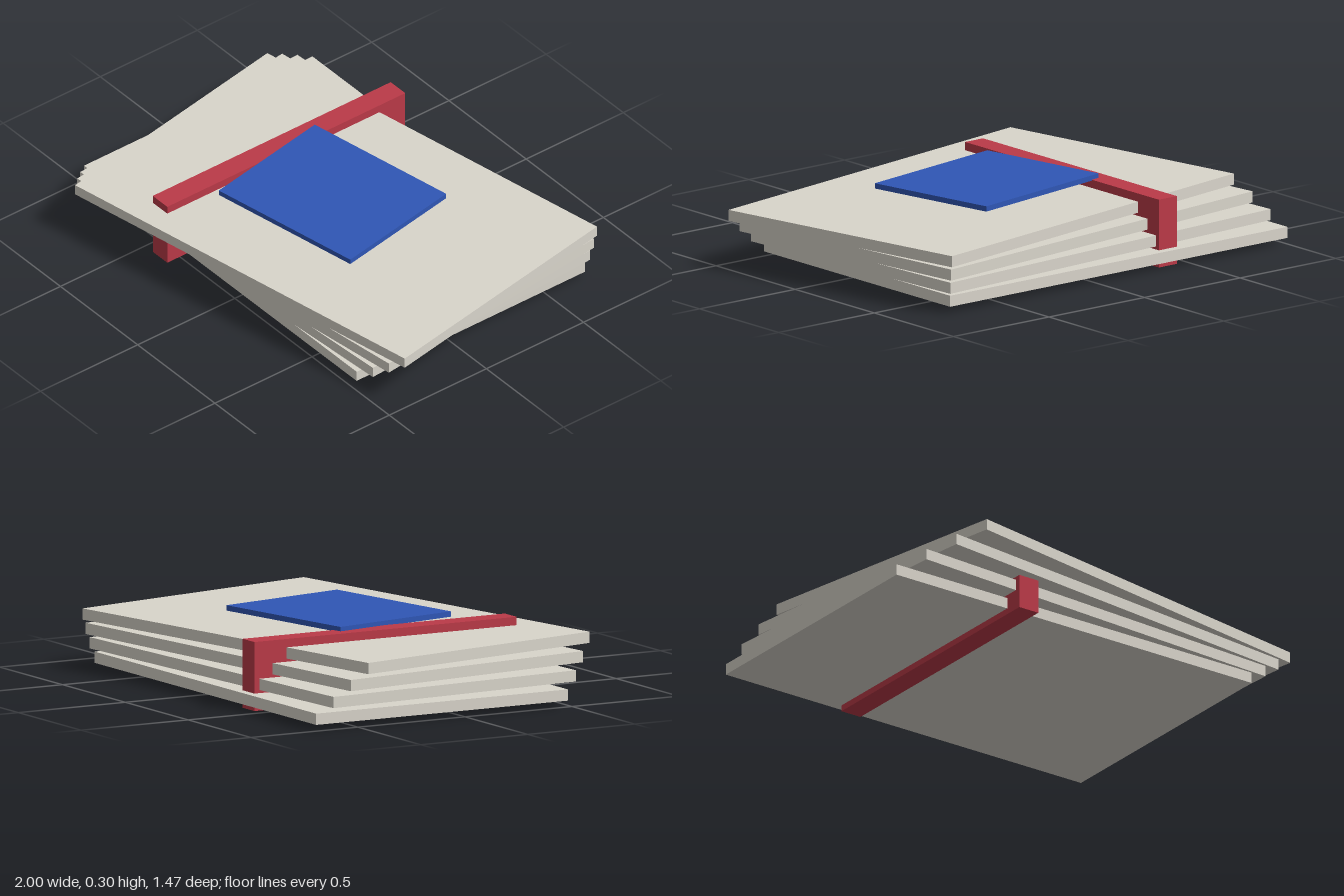
import * as THREE from 'three';

const paper = new THREE.MeshStandardMaterial({ color: 0xd9d5cb });
const red = new THREE.MeshStandardMaterial({ color: 0xbb3a48 });
const blue = new THREE.MeshStandardMaterial({ color: 0x2f56b5 });

function slab(name, material, size, position, turn = 0) {
  const mesh = new THREE.Mesh(new THREE.BoxGeometry(...size), material);
  mesh.name = name;
  mesh.position.set(...position);
  mesh.rotation.y = turn;
  return mesh;
}

export function createModel() {
  const group = new THREE.Group();
  group.name = 'boundStack';

  // Fanned stack: each sheet shifts and turns a little more than the one below
  for (let i = 0; i < 4; i++) {
    group.add(slab(`sheet${i + 1}`, paper, [1.765, 0.046, 1.176],
      [-0.1175 + 0.048 * i, 0.0485 + 0.0588 * i, -0.107 + 0.0357 * i], 0.06 * i));
  }

  // Band through and around the stack
  group.add(slab('band', red, [0.094, 0.282, 1.225], [-0.403, 0.141, -0.048]));

  // Label plate lying over the top sheet, turned with it
  group.add(slab('labelPlate', blue, [0.704, 0.022, 0.587], [0, 0.289, -0.003], 0.18));

  return group;
}
